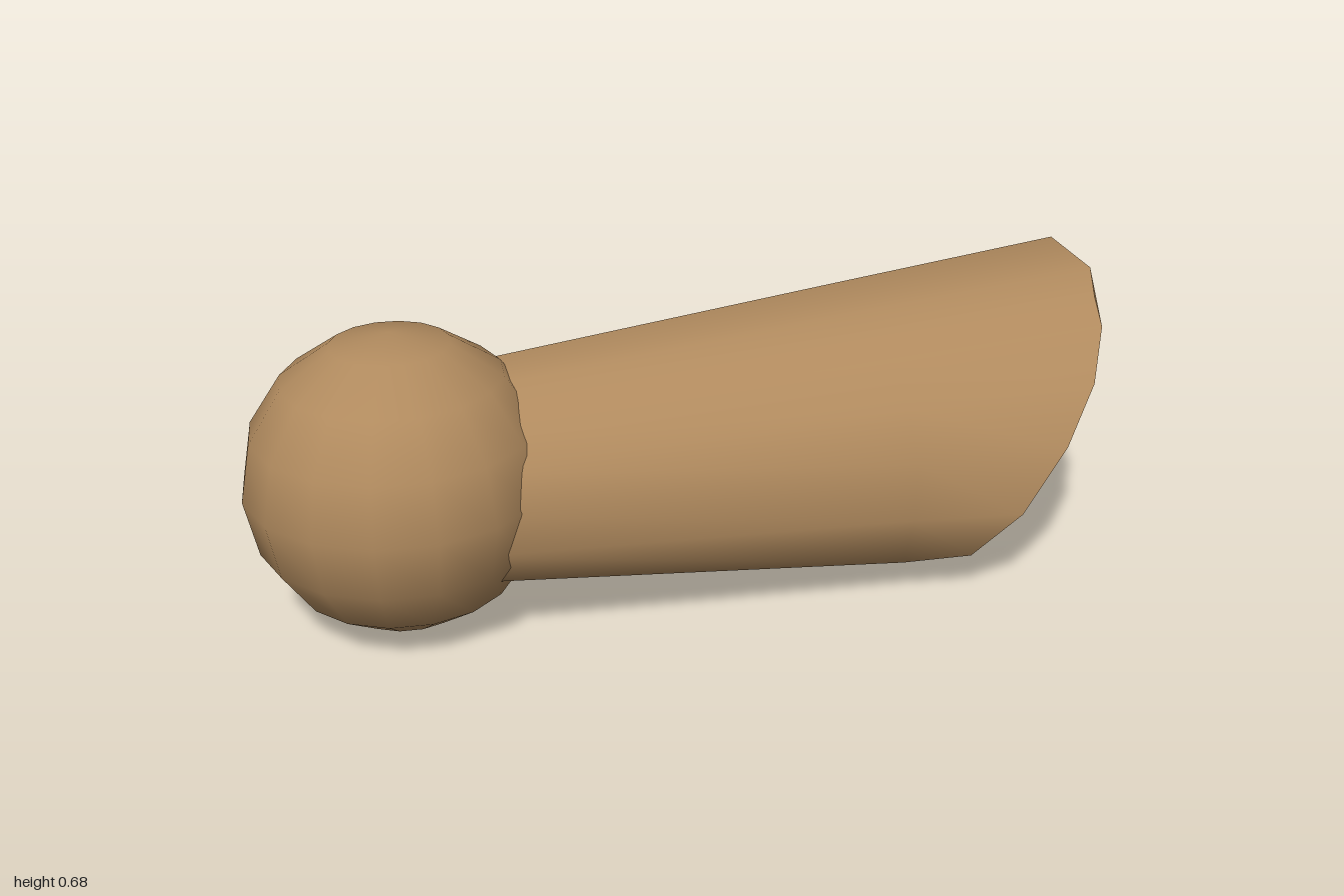
import * as THREE from 'three';

const { clamp, lerp } = THREE.MathUtils;

// Outline of the slanted cut as [z, y], clockwise when seen from +x
const CUT = [
  [0.09, 0.652], [-0.1, 0.667], [-0.225, 0.6], [-0.31, 0.495], [-0.378, 0.4], [-0.41, 0.285],
  [-0.385, 0.2], [-0.31, 0.106], [-0.16, 0.07], [0.02, 0.07], [0.21, 0.07], [0.355, 0.105],
  [0.413, 0.22], [0.4, 0.36], [0.345, 0.478], [0.25, 0.57], [0.165, 0.61],
];

function buildGeometry(positions, index) {
  const geometry = new THREE.BufferGeometry();
  geometry.setAttribute('position', new THREE.Float32BufferAttribute(positions, 3));
  geometry.setIndex(index);
  geometry.computeVertexNormals();
  return geometry;
}

// Skin between successive rings of equal point count
function loft(rings) {
  const n = rings[0].length;
  const index = [];
  for (let r = 0; r < rings.length - 1; r++) {
    for (let i = 0; i < n; i++) {
      const a = r * n + i, b = r * n + (i + 1) % n;
      index.push(a, a + n, b, b, a + n, b + n);
    }
  }
  return buildGeometry(rings.flat(2), index);
}

// Flat fan that closes a ring, facing +x or (reversed) -x
function cap(ring, reversed = false) {
  const index = [];
  for (let i = 1; i < ring.length - 1; i++) {
    if (reversed) index.push(0, i, i + 1);
    else index.push(0, i + 1, i);
  }
  return buildGeometry(ring.flat(), index);
}

export function createModel() {
  const model = new THREE.Group();
  const material = new THREE.MeshStandardMaterial({ color: 0xb08a5e });
  const add = (name, geometry) => {
    const mesh = new THREE.Mesh(geometry, material);
    mesh.name = name;
    model.add(mesh);
    return mesh;
  };

  // Ball at the narrow end
  add('ball', new THREE.SphereGeometry(0.339, 16, 8)).position.set(-0.661, 0.342, -0.05);

  // Rings of the flaring shaft: inside the ball, before the cut, on the slanted cut
  const end = CUT.map(([z, y]) => [0.52 + (y - 0.07) * 0.79, y, z]);
  const start = CUT.map(([z, y]) => [-0.6, 0.358 + (y - 0.3685) * 0.675, -0.035 + z * 0.585]);
  const middle = end.map(([x, y, z], i) => {
    const t = 1 / (x + 0.6);
    const sag = 0.022 * clamp((0.3 - y) / 0.2, 0, 1);
    const pinch = z > 0 ? 1 - 0.07 * clamp((0.36 - y) / 0.14, 0, 1) : 1.02;
    return [0.4, lerp(start[i][1], y, t) - sag, lerp(start[i][2], z, t) * pinch];
  });

  add('shaft', loft([start, middle, end]));
  add('slantedEnd', cap(end));
  add('innerEnd', cap(start, true));
  return model;
}
